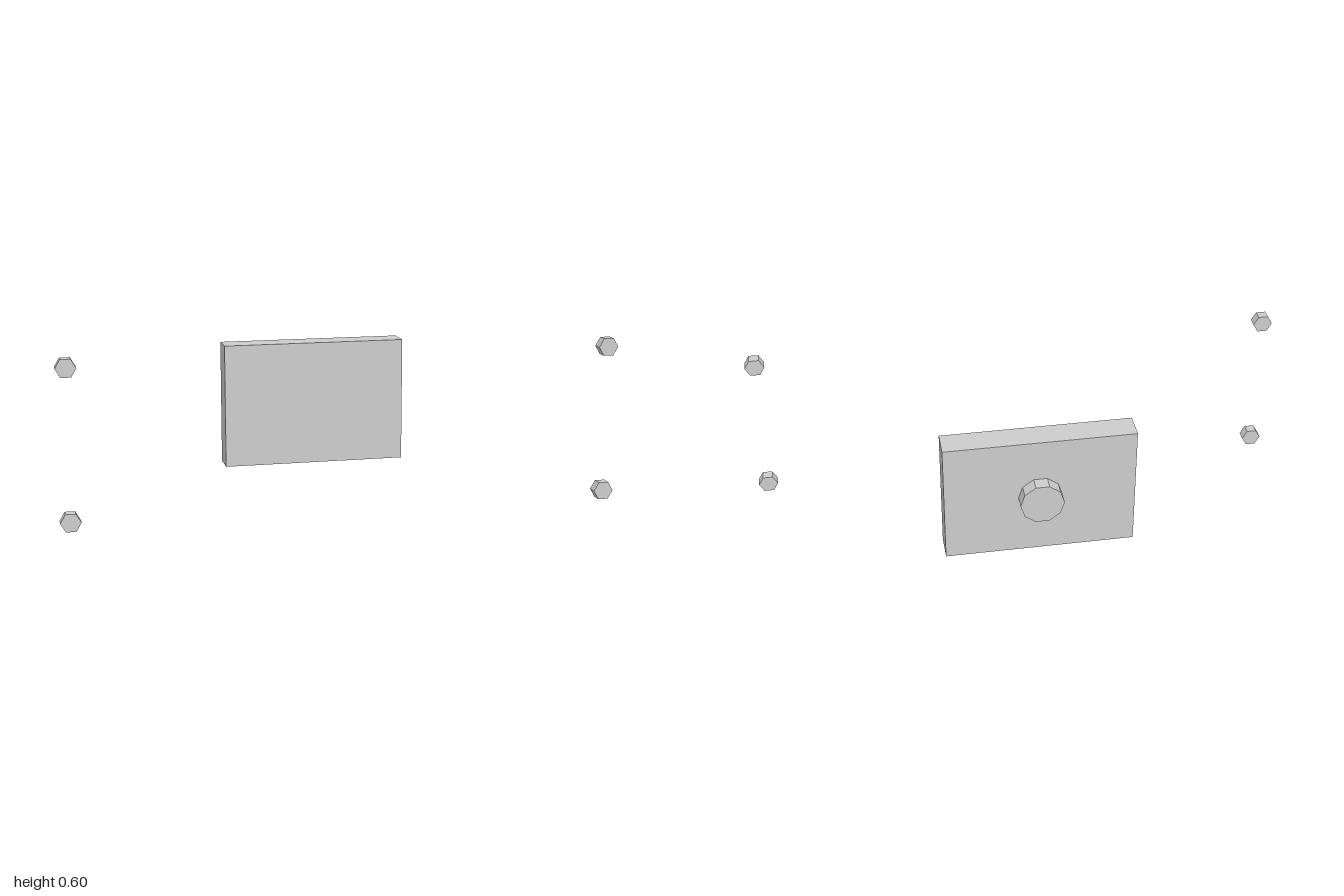
import * as THREE from 'three';

export function createModel() {
  const model = new THREE.Group();
  const grey = new THREE.MeshStandardMaterial({ color: 0xcccccc, flatShading: true });
  grey.name = 'light grey';

  const add = (name, geometry, x, y, z) => {
    const mesh = new THREE.Mesh(geometry, grey);
    mesh.name = name;
    mesh.position.set(x, y, z);
    model.add(mesh);
  };

  // Prism along z with a corner pointing to each side
  const prism = (radius, depth, sides) =>
    new THREE.CylinderGeometry(radius, radius, depth, sides, 1, false, Math.PI / 2).rotateX(Math.PI / 2);

  // Main plate with a ten-sided knob on its back
  add('plate', new THREE.BoxGeometry(0.688, 0.464, 0.099), -0.002, 0.299, -0.237);
  add('backKnob', prism(0.079, 0.05, 10), -0.002, 0.299, -0.311);

  // Four hexagonal bolts at the corners
  const bolt = prism(0.036, 0.038, 6);
  for (const [side, x] of [['left', 0.964], ['right', -0.964]]) {
    add(side + 'UpperBolt', bolt, x, 0.565, 0.318);
    add(side + 'LowerBolt', bolt, x, 0.032, 0.318);
  }
  return model;
}
